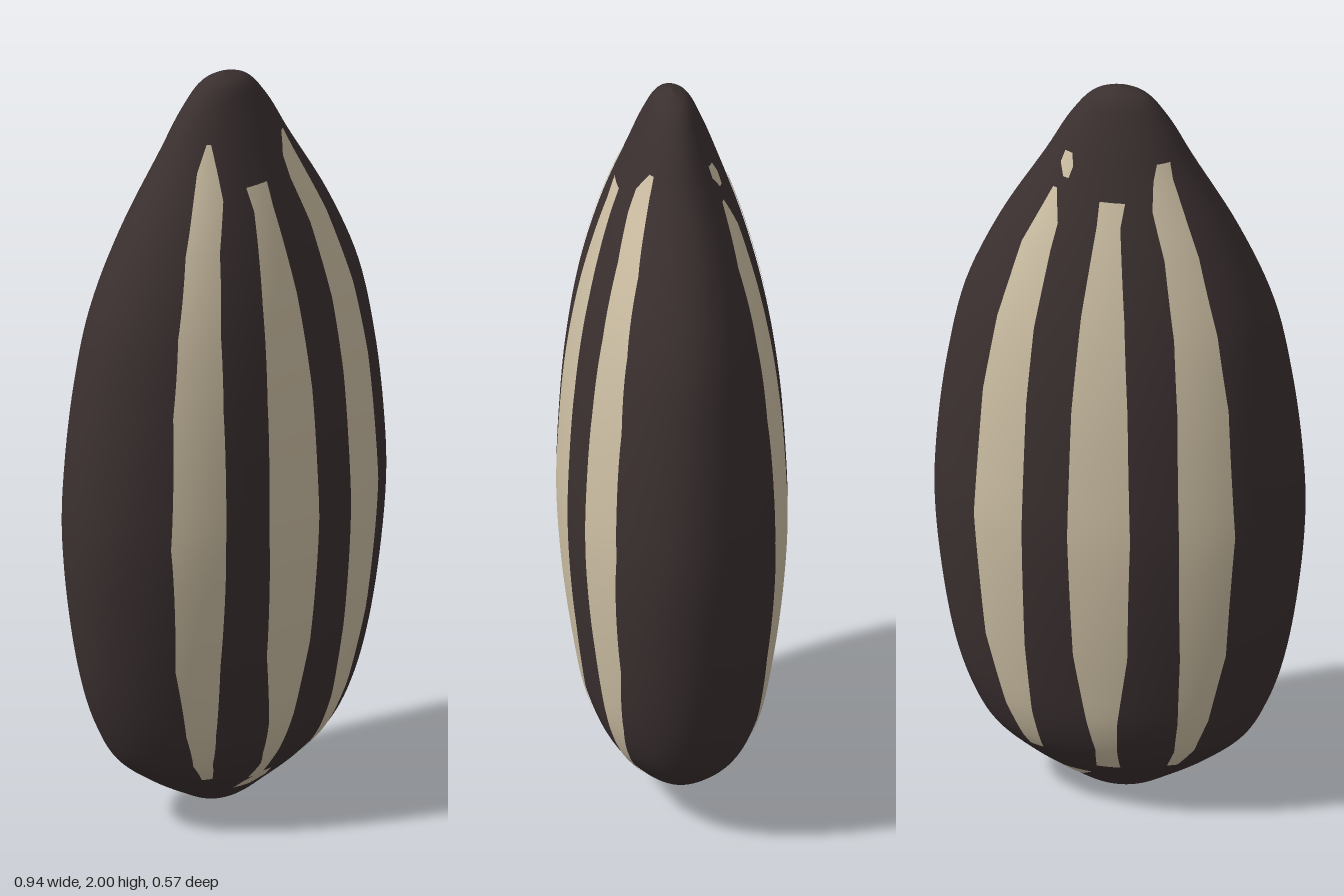
import * as THREE from 'three';

const shell = new THREE.MeshStandardMaterial({ color: 0x3b3030 });
const cream = new THREE.MeshStandardMaterial({ color: 0xcdbfa4 });
shell.name = 'dark shell';
cream.name = 'cream stripe';

// Half width, height and half depth of the elliptical hull
const hull = new THREE.CatmullRomCurve3([
  [0, 0, 0], [0.07, 0.018, 0.035], [0.14, 0.055, 0.075], [0.235, 0.115, 0.135], [0.325, 0.19, 0.185],
  [0.375, 0.28, 0.218], [0.415, 0.4, 0.24], [0.45, 0.6, 0.266], [0.468, 0.82, 0.28],
  [0.46, 1.0, 0.275], [0.435, 1.2, 0.26], [0.392, 1.4, 0.23], [0.305, 1.6, 0.182],
  [0.187, 1.8, 0.116], [0.125, 1.91, 0.075], [0.07, 1.975, 0.043], [0, 2, 0],
].map((p) => new THREE.Vector3(...p)));

// Hull section at a given height
function sectionAt(y) {
  let lo = 0, hi = 1;
  for (let i = 0; i < 24; i++) {
    const mid = (lo + hi) / 2;
    if (hull.getPoint(mid).y < y) lo = mid; else hi = mid;
  }
  return hull.getPoint(lo);
}

// Surface from a rule: at(row 0..1, column 0..1) gives a point
function surface(rows, cols, at) {
  const pos = [], index = [];
  for (let r = 0; r <= rows; r++) {
    for (let c = 0; c <= cols; c++) pos.push(...at(r / rows, c / cols));
  }
  for (let r = 0; r < rows; r++) {
    for (let c = 0; c < cols; c++) {
      const a = r * (cols + 1) + c, b = a + cols + 1;
      index.push(a, a + 1, b, a + 1, b + 1, b);
    }
  }
  const g = new THREE.BufferGeometry();
  g.setAttribute('position', new THREE.Float32BufferAttribute(pos, 3));
  g.setIndex(index);
  g.computeVertexNormals();
  return g;
}

// Stripe lying on the hull; edges are [height, x from, x to], bottom to top
function stripe(name, edges, side, mirror) {
  const gap = 0.003;
  const g = surface(Math.max(4, (edges.length - 1) * 8), 8, (v, u) => {
    const k = v * (edges.length - 1);
    const i = Math.min(Math.floor(k), edges.length - 2);
    const [y, x0, x1] = edges[i].map((e, j) => THREE.MathUtils.lerp(e, edges[i + 1][j], k - i));
    const [a, b] = mirror * side > 0 ? [x0, x1] : [x1, x0];
    const s = sectionAt(y);
    const x = mirror * THREE.MathUtils.lerp(a, b, u);
    const z = (s.z + gap) * Math.sqrt(Math.max(0, 1 - (x / (s.x + gap)) ** 2));
    return [x, y, side * z];
  });
  const m = new THREE.Mesh(g, cream);
  m.name = name;
  return m;
}

// Shared run of the outer stripes and of the middle stripe
const outer = [
  [0.2, 0.17, 0.217], [0.3, 0.185, 0.257], [0.5, 0.197, 0.305], [0.85, 0.2, 0.332],
  [1.2, 0.192, 0.312], [1.4, 0.178, 0.28], [1.6, 0.145, 0.225],
];
const middle = [
  [0.2, -0.03, 0.025], [0.3, -0.037, 0.042], [0.5, -0.068, 0.07], [0.85, -0.08, 0.08],
  [1.2, -0.07, 0.073], [1.45, -0.054, 0.056], [1.68, -0.032, 0.028], [1.74, -0.04, 0.025],
];
const longTop = [[1.72, 0.108, 0.178], [1.79, 0.105, 0.15], [1.855, 0.103, 0.113]];
const midTop = [[1.72, 0.108, 0.175], [1.78, 0.1, 0.15], [1.83, 0.12, 0.132]];
const shortTop = [[1.67, 0.13, 0.19], [1.75, 0.14, 0.15]];

export function createModel() {
  const seed = new THREE.Group();
  seed.name = 'seed';

  // Closed hull
  const body = new THREE.Mesh(surface(96, 96, (v, u) => {
    const s = hull.getPoint(v);
    const a = u * Math.PI * 2;
    return [s.x * Math.sin(a), s.y, s.z * Math.cos(a)];
  }), shell);
  body.name = 'hull';
  seed.add(body);

  // Front stripes
  seed.add(
    stripe('frontRightStripe', [[0.14, 0.145, 0.17], ...outer, ...longTop], 1, -1),
    stripe('frontLeftStripe', [[0.12, 0.15, 0.17], ...outer, ...midTop], 1, 1),
    stripe('frontMiddleStripe', [[0.11, -0.03, 0.01], [0.16, -0.02, 0.015], ...middle], 1, 1),
    stripe('frontMiddleChip', [[0.07, -0.045, 0.005], [0.095, -0.035, 0.035], [0.12, 0, 0.04]], 1, 1),
    stripe('frontSideChip', [[0.05, 0.085, 0.11], [0.075, 0.07, 0.12]], 1, 1),
  );

  // Back stripes
  seed.add(
    stripe('backRightStripe', [[0.14, 0.145, 0.17], ...outer, ...longTop.slice(0, 2), [1.83, 0.11, 0.14]], -1, -1),
    stripe('backLeftStripe', [[0.17, 0.165, 0.2], ...outer, ...shortTop], -1, 1),
    stripe('backMiddleStripe', [[0.13, -0.03, 0.03], ...middle], -1, 1),
    stripe('backTopChip', [[1.78, 0.11, 0.125], [1.81, 0.1, 0.135], [1.84, 0.105, 0.125]], -1, 1),
    stripe('backLowerChip', [[0.06, 0.08, 0.1], [0.09, 0.05, 0.13]], -1, 1),
  );
  return seed;
}
